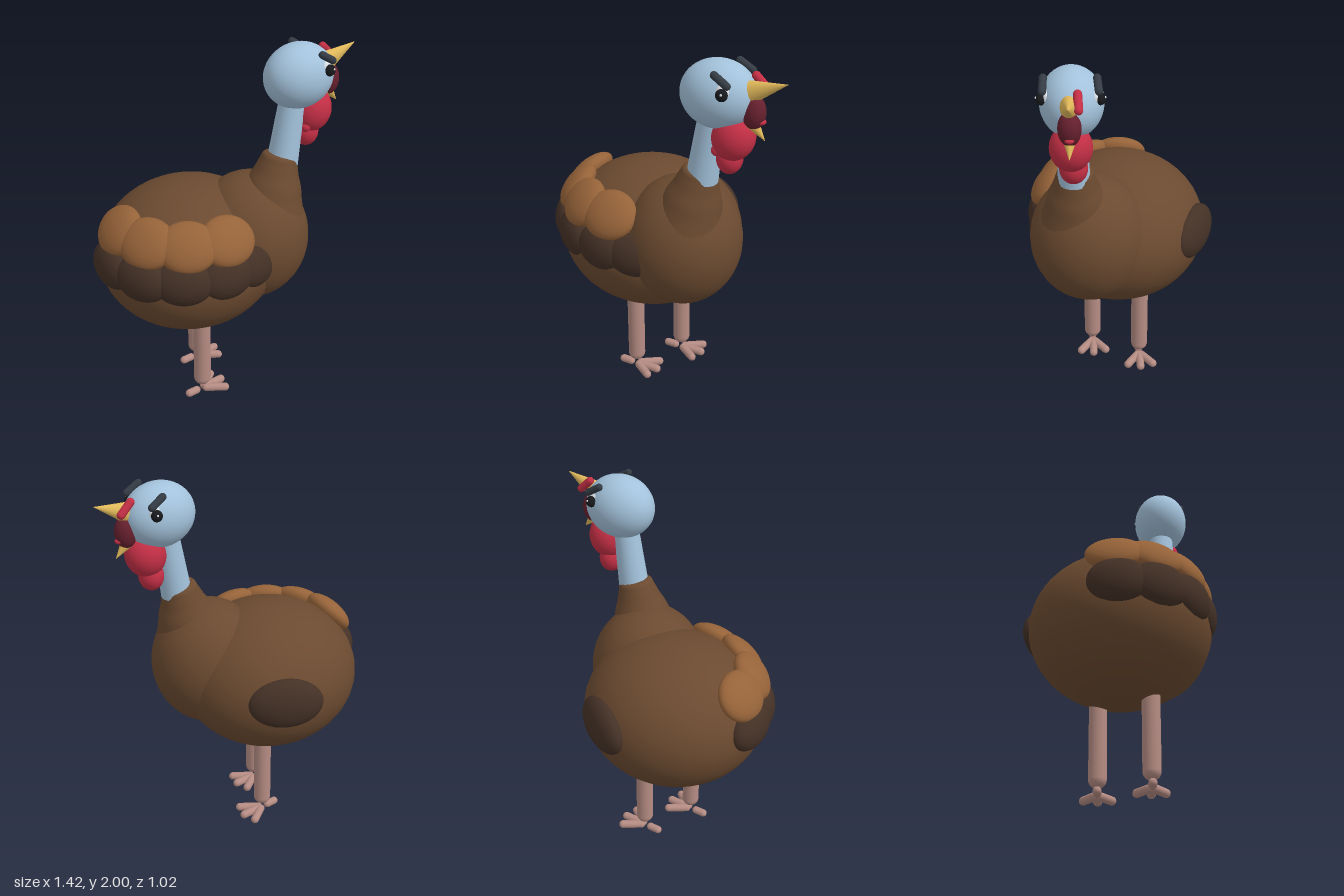
import * as THREE from 'three';

const mat = (color) => new THREE.MeshStandardMaterial({ color });
const M = {
  body: mat(0x6b4a30), dark: mat(0x443126), light: mat(0x966339), blue: mat(0xa3c2db),
  red: mat(0xc42f45), maroon: mat(0x66202e), beak: mat(0xe0b85a), leg: mat(0xb58c83),
  black: mat(0x17191c), brow: mat(0x343b44), white: mat(0xd8dde0),
};
const V = (p) => new THREE.Vector3(...p);
const UP = new THREE.Vector3(0, 1, 0);

export function createModel() {
  const model = new THREE.Group();
  model.name = 'bird';

  const add = (name, geometry, material, parent = model) => {
    const mesh = new THREE.Mesh(geometry, material);
    mesh.name = name;
    parent.add(mesh);
    return mesh;
  };
  const ellipsoid = (name, material, center, radii, parent) => {
    const mesh = add(name, new THREE.SphereGeometry(1, 40, 28), material, parent);
    mesh.position.set(...center);
    mesh.scale.set(...radii);
    return mesh;
  };
  // Places a y-aligned mesh halfway between two points
  const span = (mesh, a, b) => {
    mesh.position.copy(V(a)).lerp(V(b), 0.5);
    mesh.quaternion.setFromUnitVectors(UP, V(b).sub(V(a)).normalize());
    return mesh;
  };
  const length = (a, b) => V(a).distanceTo(V(b));
  // Capsule between the centres of its round ends
  const capsule = (name, material, a, b, r, parent) =>
    span(add(name, new THREE.CapsuleGeometry(r, length(a, b), 8, 18), material, parent), a, b);
  const taper = (name, material, a, b, rA, rB, parent) =>
    span(add(name, new THREE.CylinderGeometry(rB, rA, length(a, b), 28), material, parent), a, b);
  // Flattened feather lobe lying on the body: local z points outwards
  const lobe = (name, material, center, radii, phi, tilt, parent) => {
    const mesh = ellipsoid(name, material, center, radii, parent);
    mesh.rotation.order = 'YXZ';
    mesh.rotation.set(-tilt, Math.PI / 2 - phi, 0);
    return mesh;
  };

  // Torso
  ellipsoid('body', M.body, [-0.16, 0.865, 0], [0.5, 0.405, 0.48]);
  ellipsoid('chest', M.body, [0.12, 0.95, 0.17], [0.315, 0.355, 0.32]);

  // Flared collar of feathers and bare neck
  const collarProfile = [[0.2, -0.15], [0.165, -0.05], [0.145, 0.02], [0.12, 0.08], [0.1, 0.14], [0.08, 0.18], [0, 0.19]]
    .map(([r, y]) => new THREE.Vector2(r, y));
  const collar = add('collar', new THREE.LatheGeometry(new THREE.SplineCurve(collarProfile).getPoints(24), 36), M.body);
  collar.position.set(0.215, 1.24, 0.242);
  collar.rotation.z = -0.22;
  taper('neck', M.blue, [0.265, 1.365, 0.248], [0.32, 1.74, 0.25], 0.083, 0.066);

  // Left-hand wing: a dark row under a light row, wrapped round the flank
  const wing = new THREE.Group();
  wing.name = 'layeredWing';
  model.add(wing);
  for (const degrees of [182, 154, 126, 98, 74]) {
    const p = THREE.MathUtils.degToRad(degrees);
    const center = [-0.16 + 0.47 * Math.cos(p), 0.93, 0.425 * Math.sin(p)];
    lobe('darkFeather', M.dark, center, [0.155, 0.125, 0.083], p, 0.08, wing);
  }
  for (const degrees of [95, 124, 154, 184]) {
    const p = THREE.MathUtils.degToRad(degrees);
    const center = [-0.16 + 0.415 * Math.cos(p), 1.11, 0.385 * Math.sin(p)];
    lobe('lightFeather', M.light, center, [0.155, 0.135, 0.068], p, 0.7, wing);
  }
  // Single dark lobe on the other side
  lobe('plainWing', M.dark, [0.035, 0.91, -0.4], [0.2, 0.14, 0.075], THREE.MathUtils.degToRad(-60.5), 0.05);

  // Legs, each with three front toes and one back toe
  for (const [x, z] of [[-0.19, 0.155], [-0.04, -0.115]]) {
    const leg = new THREE.Group();
    leg.name = 'leg';
    leg.position.set(x, 0, z);
    model.add(leg);
    capsule('shank', M.leg, [0, 0.108, 0], [0, 0.5, 0], 0.048, leg);
    for (const a of [-0.62, 0, 0.62]) {
      const dir = [Math.cos(a), Math.sin(a)];
      capsule('frontToe', M.leg, [0.01 + 0.01 * dir[0], 0.026, 0.02 * dir[1]],
        [0.01 + 0.12 * dir[0], 0.026, 0.125 * dir[1]], 0.023, leg);
    }
    capsule('backToe', M.leg, [-0.04, 0.026, 0], [-0.09, 0.026, 0], 0.022, leg);
  }

  // Head
  const head = new THREE.Group();
  head.name = 'head';
  model.add(head);
  ellipsoid('skull', M.blue, [0.35, 1.83, 0.25], [0.195, 0.17, 0.155], head);
  for (const s of [1, -1]) {
    const z = (d) => 0.255 + s * d;
    const dx = s > 0 ? 0 : 0.015;
    ellipsoid('eyeWhite', M.white, [0.42 + dx, 1.885, z(0.112)], [0.038, 0.036, 0.025], head);
    ellipsoid('eye', M.black, [0.43 + dx, 1.88, z(0.137)], [0.03, 0.03, 0.026], head);
    ellipsoid('eyeGlint', M.white, [0.438 + dx, 1.89, z(0.16)], [0.006, 0.006, 0.005], head);
    capsule('brow', M.brow, [0.385 + dx, 1.966, z(0.125)], [0.452 + dx, 1.925, z(0.13)], 0.019, head);
  }

  // Open beak with mouth and tongue
  taper('upperBeak', M.beak, [0.515, 1.87, 0.265], [0.705, 1.94, 0.272], 0.058, 0.001, head).scale.z = 0.75;
  taper('lowerBeak', M.beak, [0.53, 1.725, 0.265], [0.602, 1.645, 0.27], 0.036, 0.001, head);
  ellipsoid('mouth', M.maroon, [0.54, 1.775, 0.265], [0.058, 0.085, 0.056], head);
  ellipsoid('tongue', M.red, [0.575, 1.735, 0.267], [0.028, 0.016, 0.025], head);

  // Red snood and wattle
  capsule('snood', M.red, [0.527, 1.94, 0.224], [0.585, 1.885, 0.222], 0.021, head);
  const wattle = ellipsoid('wattle', M.red, [0.437, 1.63, 0.26], [0.108, 0.12, 0.105], head);
  wattle.rotation.z = -0.25;
  ellipsoid('wattleTip', M.red, [0.415, 1.51, 0.25], [0.066, 0.08, 0.07], head);
  ellipsoid('wattleBump', M.red, [0.368, 1.56, 0.3], [0.028, 0.028, 0.028], head);

  return model;
}
